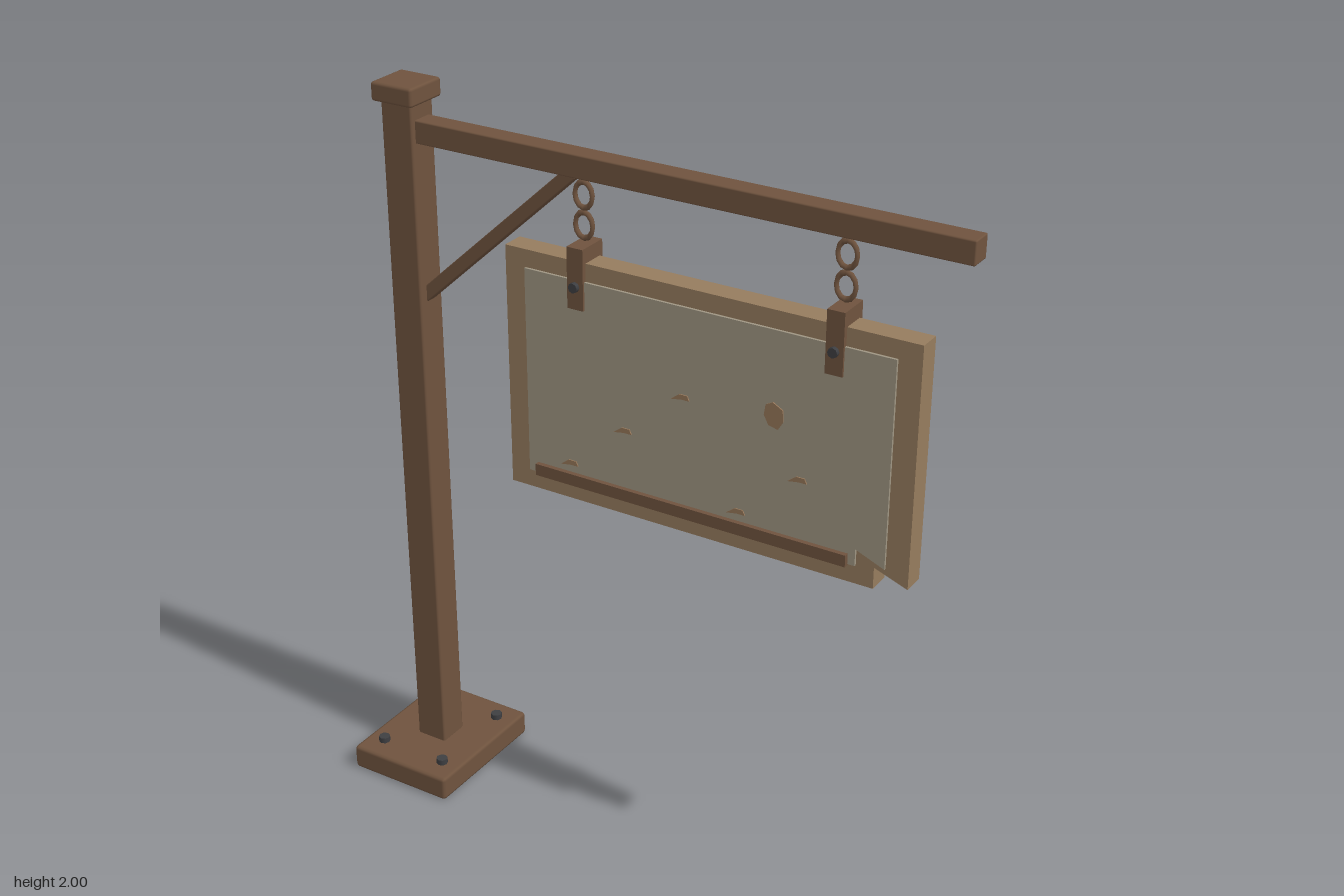
import * as THREE from 'three';
import { RoundedBoxGeometry } from 'three/addons/geometries/RoundedBoxGeometry.js';

const mat = (name, color) => {
  const m = new THREE.MeshStandardMaterial({ color });
  m.name = name;
  return m;
};

export function createModel() {
  const group = new THREE.Group();
  const wood = mat('dark wood', 0x6f533e);
  const tan = mat('tan board', 0x967c5e);
  const paint = mat('faded paint', 0x9e9582);
  const chipTan = mat('bare wood chip', 0x967759);
  const iron = mat('iron', 0x3e3f42);

  const add = (name, geo, material, x = 0, y = 0, z = 0) => {
    const mesh = new THREE.Mesh(geo, material);
    mesh.name = name;
    mesh.position.set(x, y, z);
    group.add(mesh);
    return mesh;
  };
  // Box with a small chamfer
  const beam = (name, w, h, d, x, y, z = 0, bevel = 0.006) =>
    add(name, new RoundedBoxGeometry(w, h, d, 1, bevel), wood, x, y, z);
  // Flat outline extruded from z0 to z1
  const plate = (name, points, z0, z1, material) => {
    const shape = new THREE.Shape(points.map(([x, y]) => new THREE.Vector2(x, y)));
    const geo = new THREE.ExtrudeGeometry(shape, { depth: z1 - z0, bevelEnabled: false });
    return add(name, geo, material, 0, 0, z0);
  };

  // Post, foot and arm
  const postX = -0.697;
  beam('base', 0.316, 0.07, 0.4, postX, 0.035, 0, 0.01);
  beam('post', 0.092, 1.89, 0.09, postX, 1.01);
  beam('postCap', 0.124, 0.05, 0.126, postX, 1.975, 0, 0.008);
  beam('arm', 1.52, 0.06, 0.06, 0.09, 1.88, 0, 0.004);

  // Diagonal brace, running into the post and the arm
  const a = new THREE.Vector2(-0.675, 1.425), b = new THREE.Vector2(-0.2, 1.858);
  const brace = beam('brace', a.distanceTo(b), 0.034, 0.036, (a.x + b.x) / 2, (a.y + b.y) / 2, 0, 0.003);
  brace.rotation.z = Math.atan2(b.y - a.y, b.x - a.x);

  // Base bolts
  for (const dx of [-0.102, 0.102]) for (const z of [-0.132, 0.132])
    add('baseBolt', new THREE.CylinderGeometry(0.016, 0.016, 0.022, 8), iron, postX + dx, 0.075, z);

  // Sign board with a broken lower corner
  plate('signBoard', [[-0.389, 0.985], [0.655, 0.985], [0.655, 1.043], [0.745, 1.01], [0.745, 1.641], [-0.389, 1.641]],
    -0.031, 0.031, tan);

  // Painted panel and bottom rail on both faces
  const panel = [[-0.329, 1.036], [0.607, 1.036], [0.607, 1.082], [0.685, 1.05], [0.685, 1.594], [-0.329, 1.594]];
  plate('frontPanel', panel, 0.031, 0.038, paint);
  plate('backPanel', panel, -0.038, -0.031, paint);
  for (const s of [-1, 1])
    add('rail', new THREE.BoxGeometry(0.89, 0.032, 0.017), wood, 0.143, 1.049, s * 0.0425);

  // Paint chips on the front
  for (const [x, y] of [[-0.2, 1.09], [-0.04, 1.223], [0.125, 1.357], [0.285, 1.09], [0.45, 1.223]])
    plate('paintChip', [[x - 0.03, y - 0.009], [x, y - 0.004], [x + 0.022, y - 0.004], [x + 0.016, y + 0.009], [x - 0.006, y + 0.009]],
      0.038, 0.041, chipTan);
  plate('wornPatch', [[0.352, 1.372], [0.365, 1.348], [0.39, 1.342], [0.404, 1.365], [0.402, 1.395], [0.375, 1.41], [0.356, 1.4]],
    0.038, 0.041, chipTan);

  // Hangers: saddle bracket, bolts and two chain links
  for (const x of [-0.176, 0.531]) {
    for (const s of [-1, 1]) {
      add('strap', new THREE.BoxGeometry(0.046, 0.16, 0.013), wood, x, 1.6, s * 0.0375);
      const bolt = add('strapBolt', new THREE.CylinderGeometry(0.013, 0.013, 0.014, 8), iron, x, 1.58, s * 0.049);
      bolt.rotation.x = Math.PI / 2;
    }
    add('saddle', new THREE.BoxGeometry(0.046, 0.04, 0.064), wood, x, 1.66, 0);
    for (const y of [1.802, 1.725]) {
      const link = add('chainLink', new THREE.TorusGeometry(0.025, 0.006, 6, 12), wood, x, y, 0);
      link.scale.set(1, 1.32, 1.2);
    }
  }
  return group;
}
